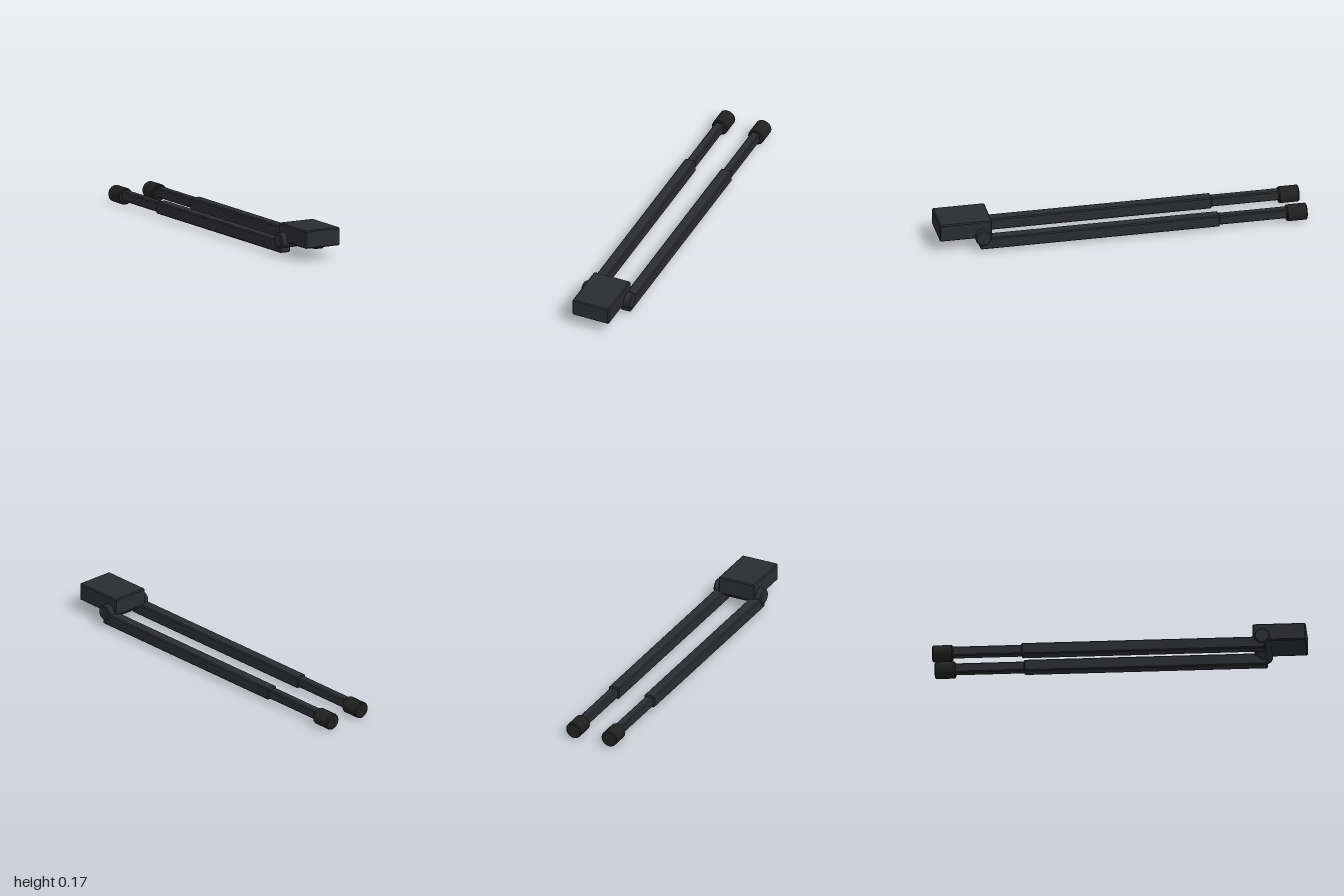
import * as THREE from 'three';
import { ConvexGeometry } from 'three/addons/geometries/ConvexGeometry.js';
import { toCreasedNormals } from 'three/addons/utils/BufferGeometryUtils.js';

const metal = new THREE.MeshStandardMaterial({ color: 0x2b2c2f });
const rubber = new THREE.MeshStandardMaterial({ color: 0x202020 });

// Box between two corners with every edge chamfered by c
function chamferBox(name, min, max, c) {
  const h = min.map((v, i) => (max[i] - v) / 2);
  const points = [];
  for (const sx of [-1, 1]) for (const sy of [-1, 1]) for (const sz of [-1, 1]) {
    for (let full = 0; full < 3; full++) {
      const p = [sx, sy, sz].map((s, i) => s * (i === full ? h[i] : h[i] - c));
      points.push(new THREE.Vector3(...p));
    }
  }
  const mesh = new THREE.Mesh(new ConvexGeometry(points), metal);
  mesh.name = name;
  mesh.position.set(...min.map((v, i) => (v + max[i]) / 2));
  return mesh;
}

// Closed cylinder along y with chamfered rims
function chamferCylinder(name, radius, length, c, sides, material) {
  const h = length / 2;
  const profile = [
    [0, -h], [radius - c, -h], [radius, -h + c],
    [radius, h - c], [radius - c, h], [0, h],
  ].map(([x, y]) => new THREE.Vector2(x, y));
  const geometry = toCreasedNormals(new THREE.LatheGeometry(profile, sides), 0.5);
  const mesh = new THREE.Mesh(geometry, material);
  mesh.name = name;
  return mesh;
}

export function createModel() {
  const model = new THREE.Group();
  model.name = 'foldedBipod';

  // Mounting block and the hinge pin under its rear end
  model.add(chamferBox('mountBlock', [-0.107, 0.072, 0.715], [0.107, 0.17, 1], 0.006));
  const hinge = chamferCylinder('hingePin', 0.0425, 0.288, 0.006, 32, metal);
  hinge.rotation.z = Math.PI / 2;
  hinge.position.set(0, 0.0845, 0.768);
  model.add(hinge);

  // Two telescopic legs folded backwards
  for (const side of [1, -1]) {
    const leg = new THREE.Group();
    leg.name = side > 0 ? 'leftLeg' : 'rightLeg';
    leg.position.x = side * 0.106;
    leg.add(chamferBox('outerLeg', [-0.031, 0.017, -0.522], [0.031, 0.083, 0.784], 0.006));
    leg.add(chamferBox('innerLeg', [-0.023, 0.023, -0.895], [0.023, 0.077, -0.518], 0.006));
    const foot = chamferCylinder('foot', 0.0455, 0.112, 0.006, 20, rubber);
    foot.rotation.x = Math.PI / 2;
    foot.position.set(0, 0.0455, -0.944);
    leg.add(foot);
    model.add(leg);
  }
  return model;
}
